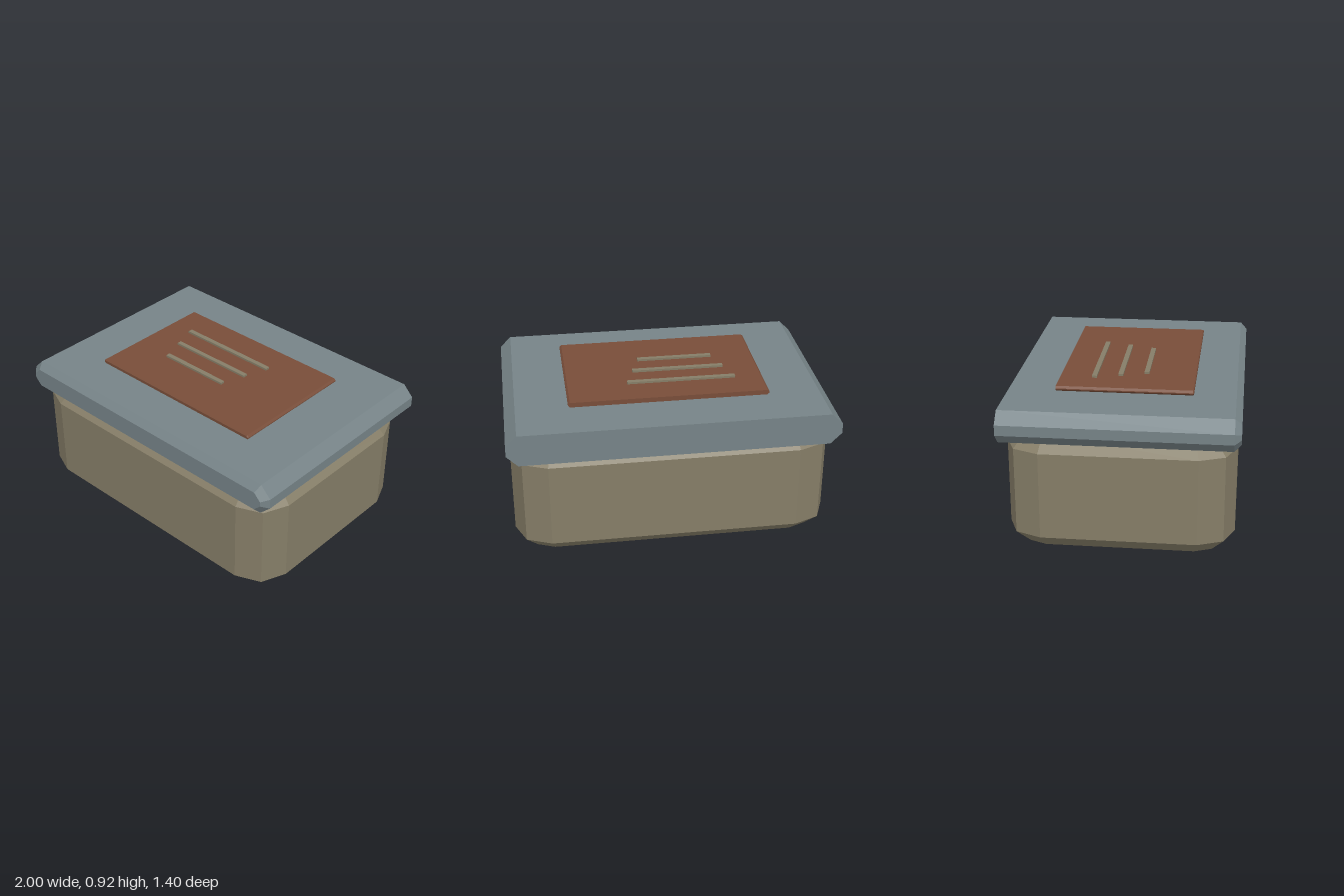
import * as THREE from 'three';

const stone = new THREE.MeshStandardMaterial({ color: 0x857d67 });
stone.name = 'khaki';
const slate = new THREE.MeshStandardMaterial({ color: 0x768387 });
slate.name = 'slate grey';
const rust = new THREE.MeshStandardMaterial({ color: 0x784d39 });
rust.name = 'rust brown';

function addMesh(group, name, geometry, material) {
  const mesh = new THREE.Mesh(geometry, material);
  mesh.name = name;
  group.add(mesh);
  return mesh;
}

// Eight-sided ring in the x-y plane: half width, bottom, top, chamfer, depth z
function ring(w, y0, y1, c, z) {
  return [
    [w - c, y0], [w, y0 + c], [w, y1 - c], [w - c, y1],
    [c - w, y1], [-w, y1 - c], [-w, y0 + c], [c - w, y0],
  ].map(([x, y]) => new THREE.Vector3(x, y, z));
}

// Flat-shaded solid through rings ordered back to front, capped at both ends
function loft(rings) {
  const points = [];
  const n = rings[0].length;
  for (let r = 0; r < rings.length - 1; r++) {
    const a = rings[r], b = rings[r + 1];
    for (let i = 0; i < n; i++) {
      const j = (i + 1) % n;
      points.push(a[i], a[j], b[j], a[i], b[j], b[i]);
    }
  }
  const back = rings[0], front = rings[rings.length - 1];
  for (let i = 1; i < n - 1; i++) {
    points.push(front[0], front[i], front[i + 1], back[0], back[i + 1], back[i]);
  }
  const geometry = new THREE.BufferGeometry().setFromPoints(points);
  geometry.computeVertexNormals();
  return geometry;
}

// Slab with chamfered sides and front; the back end is cut square
function slab(w, y0, y1, c, depth, frontChamfer) {
  const f = frontChamfer;
  return loft([
    ring(w, y0, y1, c, -depth),
    ring(w, y0, y1, c, depth - f),
    ring(w - f, y0 + f, y1 - f, c - f * 0.59, depth),
  ]);
}

// Box with faceted vertical corners and a wide bevel round top and bottom
function bodyGeometry() {
  const w = 0.887, d = 0.588, r = 0.145, bevel = 0.09;
  const shape = new THREE.Shape();
  shape.absarc(w - r, d - r, r, 0, Math.PI / 2);
  shape.absarc(r - w, d - r, r, Math.PI / 2, Math.PI);
  shape.absarc(r - w, r - d, r, Math.PI, Math.PI * 1.5);
  shape.absarc(w - r, r - d, r, Math.PI * 1.5, Math.PI * 2);
  shape.closePath();
  const geometry = new THREE.ExtrudeGeometry(shape, {
    depth: 0.535, curveSegments: 1, bevelEnabled: true,
    bevelSegments: 1, bevelSize: bevel, bevelThickness: bevel,
  });
  geometry.rotateX(-Math.PI / 2);
  geometry.translate(0, bevel, 0);
  return geometry;
}

export function createModel() {
  const model = new THREE.Group();
  model.name = 'liddedBox';

  addMesh(model, 'body', bodyGeometry(), stone);
  addMesh(model, 'lid', slab(1, 0.67, 0.869, 0.068, 0.7, 0.04), slate);
  addMesh(model, 'topPlate', slab(0.615, 0.877, 0.907, 0.012, 0.41, 0.006), rust);

  // Three raised bars, shortening towards the front
  [[0.675, -0.202], [0.575, -0.047], [0.475, 0.108]].forEach(([length, z], i) => {
    const bar = addMesh(model, `plateBar${i + 1}`, new THREE.BoxGeometry(length, 0.016, 0.03), stone);
    bar.position.set(-0.102, 0.912, z);
  });

  return model;
}
